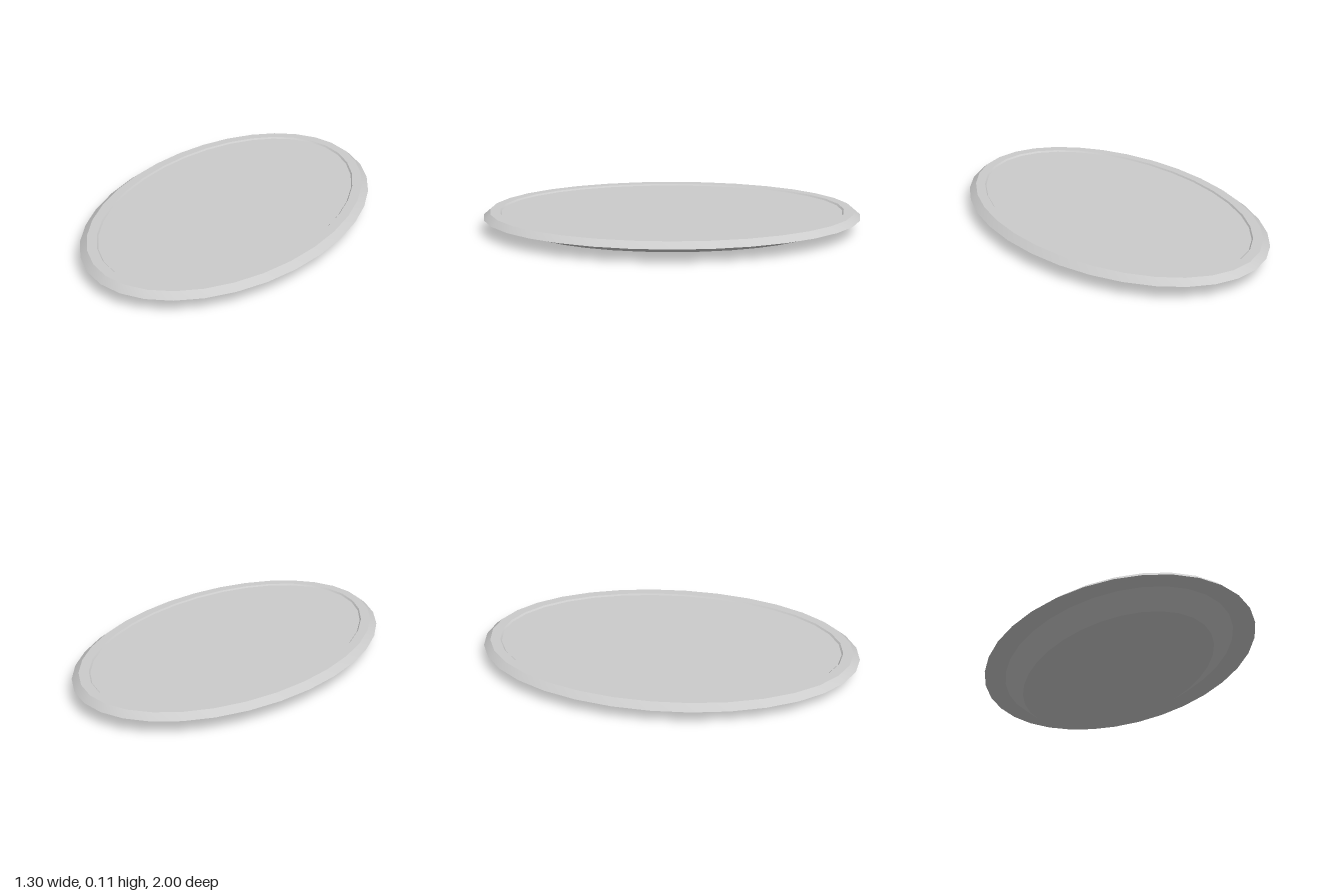
import * as THREE from 'three';
import { mergeGeometries } from 'three/addons/utils/BufferGeometryUtils.js';

const SEGMENTS = 32;

// Band between two elliptical rings [radiusX, radiusZ, y]; smooth around, sharp at its edges
function band(a, b) {
  const positions = [];
  const index = [];
  for (const [rx, rz, y] of [a, b]) {
    for (let i = 0; i < SEGMENTS; i++) {
      const t = (i / SEGMENTS) * Math.PI * 2;
      positions.push(rx * Math.sin(t), y, rz * Math.cos(t));
    }
  }
  for (let i = 0; i < SEGMENTS; i++) {
    const j = (i + 1) % SEGMENTS;
    if (a[0] > 0) index.push(i, j, SEGMENTS + i);
    if (b[0] > 0) index.push(j, SEGMENTS + j, SEGMENTS + i);
  }
  const geometry = new THREE.BufferGeometry();
  geometry.setAttribute('position', new THREE.Float32BufferAttribute(positions, 3));
  geometry.setIndex(index);
  geometry.computeVertexNormals();
  return geometry;
}

// Part swept through a list of rings, ordered from underside outwards to the top
function ovalPart(name, rings, material) {
  const bands = rings.slice(1).map((ring, i) => band(rings[i], ring));
  const mesh = new THREE.Mesh(mergeGeometries(bands), material);
  mesh.name = name;
  return mesh;
}

export function createModel() {
  const group = new THREE.Group();
  group.name = 'ovalPlatter';
  const material = new THREE.MeshStandardMaterial({ color: 0xcccccc });

  // Flat foot with sloping flanks
  group.add(ovalPart('base', [
    [0, 0, 0],
    [0.435, 0.78, 0],
    [0.535, 0.885, 0.078],
  ], material));

  // Flat underside, bevelled outer edge, flat top and small inner step
  group.add(ovalPart('rim', [
    [0.535, 0.885, 0.078],
    [0.65, 1, 0.078],
    [0.612, 0.965, 0.108],
    [0.562, 0.912, 0.108],
    [0.556, 0.904, 0.1],
  ], material));

  // Slightly sunken serving surface
  group.add(ovalPart('servingSurface', [
    [0.556, 0.904, 0.1],
    [0, 0, 0.1],
  ], material));

  return group;
}
